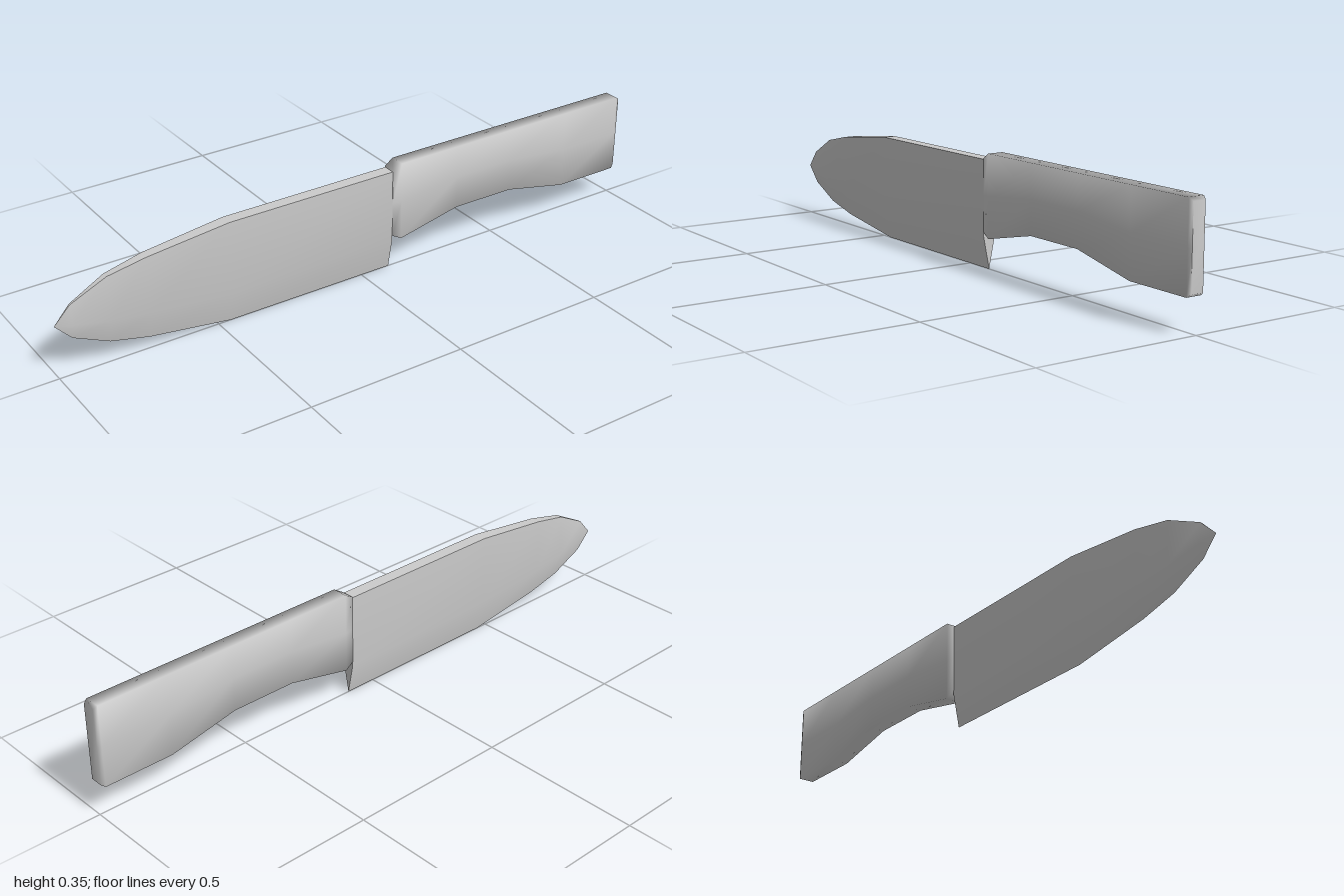
import * as THREE from 'three';
import { toCreasedNormals } from 'three/addons/utils/BufferGeometryUtils.js';

const material = new THREE.MeshStandardMaterial({ color: 0xcccccc });

// Skin closed rings of points, ordered along +x, and cap both ends
function loft(rings) {
  const n = rings[0].length;
  const index = [];
  for (let i = 0; i < rings.length - 1; i++) {
    for (let j = 0; j < n; j++) {
      const k = (j + 1) % n;
      const a = i * n + j, b = i * n + k, c = a + n, d = b + n;
      index.push(a, c, d, a, d, b);
    }
  }
  const last = (rings.length - 1) * n;
  for (let j = 1; j < n - 1; j++) {
    index.push(0, j, j + 1, last, last + j + 1, last + j);
  }
  const geometry = new THREE.BufferGeometry();
  geometry.setAttribute('position', new THREE.Float32BufferAttribute(rings.flat(2), 3));
  geometry.setIndex(index);
  geometry.computeVertexNormals();
  return geometry;
}

// Blade: sharp lower edge, bevel up to a ridge, flat sides up to the spine
function createBlade() {
  const sections = [
    // x, edge y, ridge y, spine y, ridge half width, spine half width
    [-1, 0.168, 0.168, 0.168, 0, 0],
    [-0.95, 0.115, 0.16, 0.222, 0.009, 0.003],
    [-0.84, 0.064, 0.14, 0.277, 0.019, 0.01],
    [-0.72, 0.036, 0.125, 0.302, 0.02, 0.016],
    [-0.46, 0, 0.1, 0.332, 0.02, 0.02],
    [0.1, 0, 0.1, 0.332, 0.02, 0.02],
  ];
  const rings = sections.map(([x, edge, ridge, spine, w, s]) => [
    [x, edge, 0], [x, ridge, w], [x, spine, s], [x, spine, -s], [x, ridge, -w],
  ]);
  const mesh = new THREE.Mesh(toCreasedNormals(loft(rings), 0.7), material);
  mesh.name = 'blade';
  return mesh;
}

// Handle: softly shaded grip with a finger hollow underneath and bevelled ends
function createHandle() {
  const sections = [
    // x, bottom y, top y, half width
    [0.1, 0.115, 0.335, 0.021],
    [0.13, 0.099, 0.353, 0.025],
    [0.34, 0.144, 0.353, 0.025],
    [0.55, 0.144, 0.353, 0.025],
    [0.77, 0.098, 0.353, 0.025],
    [0.988, 0.098, 0.353, 0.025],
    [1, 0.107, 0.344, 0.02],
  ];
  const rings = sections.map(([x, low, high, w]) => {
    const mid = (low + high) / 2;
    return [
      [x, low, w], [x, mid, w], [x, high, w],
      [x, high, -w], [x, mid, -w], [x, low, -w],
    ];
  });
  const mesh = new THREE.Mesh(loft(rings), material);
  mesh.name = 'handle';
  return mesh;
}

export function createModel() {
  const knife = new THREE.Group();
  knife.name = 'knife';
  knife.add(createBlade(), createHandle());
  return knife;
}
